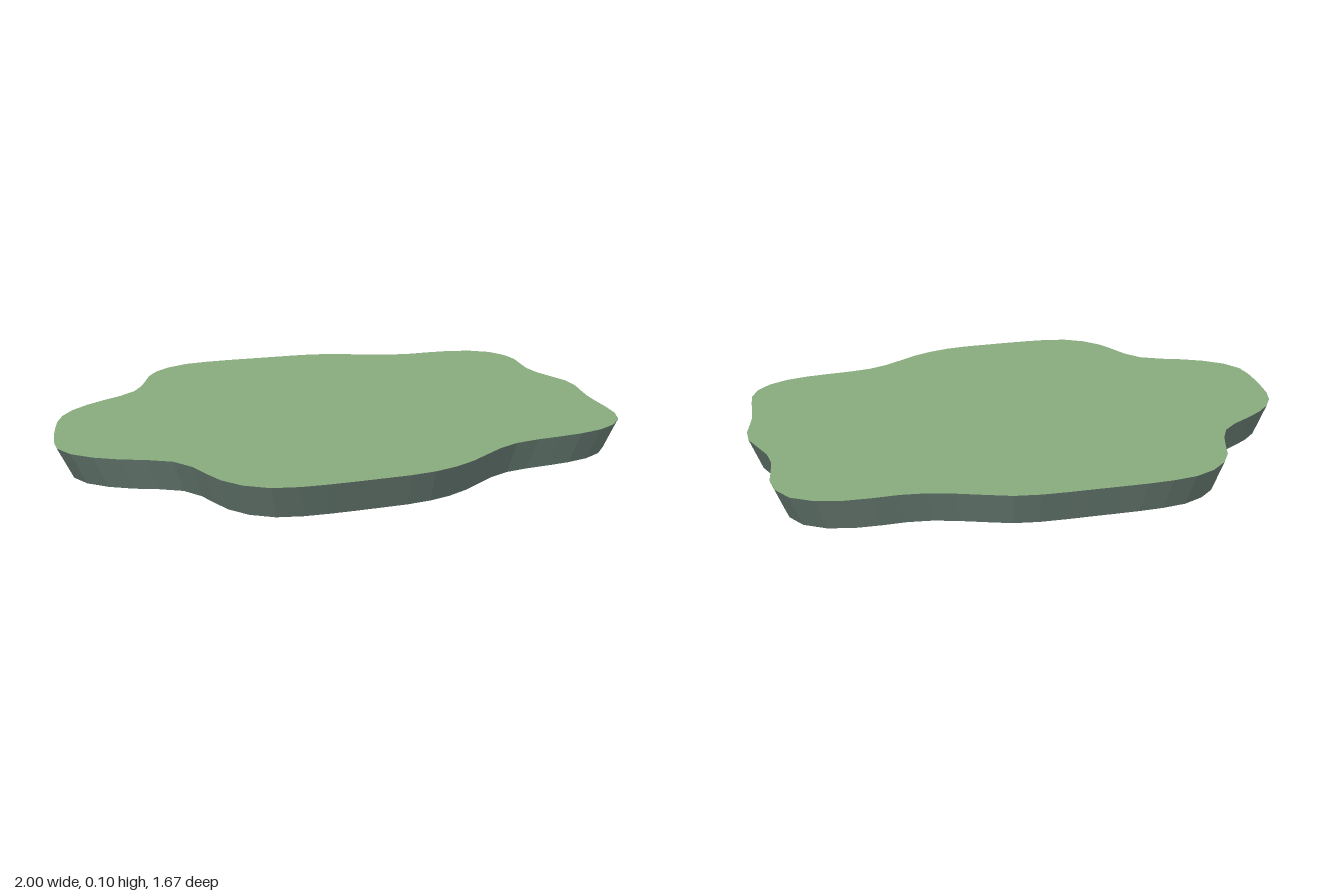
import * as THREE from 'three';

const HEIGHT = 0.097;
const TAPER = 0.95; // the foot is slightly smaller than the top
const SEGMENTS = 72;

// Wavy outline as x, z pairs, counter-clockwise seen from above
const OUTLINE = [
  [0.07, -0.836], [-0.03, -0.836], [-0.13, -0.8], [-0.2, -0.745], [-0.28, -0.68],
  [-0.35, -0.637], [-0.43, -0.618], [-0.53, -0.61], [-0.63, -0.59], [-0.71, -0.555],
  [-0.78, -0.5], [-0.845, -0.43], [-0.95, -0.3], [-0.99, -0.23], [-0.998, -0.15],
  [-0.97, -0.06], [-0.92, 0.02], [-0.87, 0.085], [-0.852, 0.15], [-0.862, 0.22],
  [-0.89, 0.32], [-0.897, 0.4], [-0.87, 0.49], [-0.81, 0.55], [-0.73, 0.6],
  [-0.6, 0.667], [-0.49, 0.72], [-0.4, 0.745], [-0.3, 0.75], [-0.11, 0.727],
  [-0.02, 0.735], [0.07, 0.77], [0.17, 0.81], [0.27, 0.831], [0.37, 0.818],
  [0.45, 0.77], [0.51, 0.7], [0.62, 0.55], [0.73, 0.43], [0.765, 0.375],
  [0.81, 0.225], [0.845, 0.155], [0.9, 0.085], [0.96, 0.01], [0.993, -0.07],
  [0.993, -0.15], [0.94, -0.23], [0.855, -0.288], [0.76, -0.338], [0.695, -0.39],
  [0.6, -0.51], [0.545, -0.578], [0.48, -0.625], [0.34, -0.705], [0.17, -0.798],
];

function outlinePoints() {
  const curve = new THREE.CatmullRomCurve3(
    OUTLINE.map(([x, z]) => new THREE.Vector3(x, 0, z)), true, 'centripetal');
  return curve.getSpacedPoints(SEGMENTS).slice(0, -1);
}

// Flat sheet closing the top of the wall
function topGeometry(points) {
  const shape = new THREE.Shape(points.map((p) => new THREE.Vector2(p.x, -p.z)));
  return new THREE.ShapeGeometry(shape).rotateX(-Math.PI / 2).translate(0, HEIGHT, 0);
}

// Sloping wall between the foot and the top outline
function wallGeometry(points) {
  const positions = [];
  const index = [];
  const n = points.length;
  points.forEach((p, i) => {
    positions.push(p.x * TAPER, 0, p.z * TAPER, p.x, HEIGHT, p.z);
    const a = 2 * i;
    const b = 2 * ((i + 1) % n);
    index.push(a, b, b + 1, a, b + 1, a + 1);
  });
  const geometry = new THREE.BufferGeometry();
  geometry.setAttribute('position', new THREE.Float32BufferAttribute(positions, 3));
  geometry.setIndex(index);
  geometry.computeVertexNormals();
  return geometry;
}

export function createModel() {
  const group = new THREE.Group();
  group.name = 'grassPatch';
  const points = outlinePoints();

  // The patch is a thin shell, open underneath
  const add = (name, geometry, color) => {
    const material = new THREE.MeshStandardMaterial({
      color, flatShading: true, side: THREE.DoubleSide,
    });
    const mesh = new THREE.Mesh(geometry, material);
    mesh.name = name;
    group.add(mesh);
  };
  add('topSurface', topGeometry(points), 0x86aa7c);
  add('slopingEdge', wallGeometry(points), 0x6b7f76);
  return group;
}
